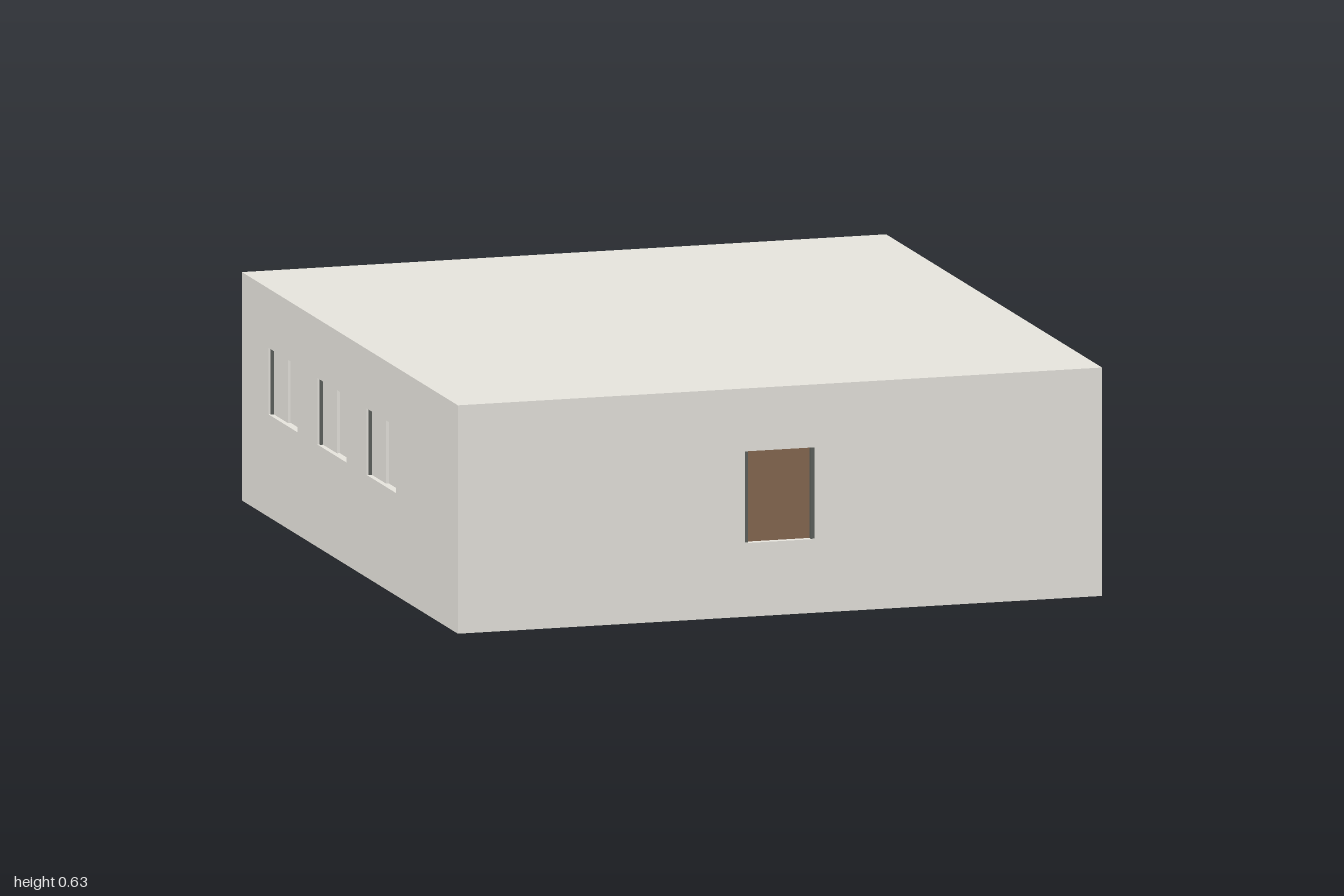
import * as THREE from 'three';

const W = 0.92, D = 1, H = 0.635, T = 0.03; // half width, half depth, height, wall thickness

const mat = (name, color) => {
  const m = new THREE.MeshStandardMaterial({ color });
  m.name = name;
  return m;
};

export function createModel() {
  const wallMat = mat('plaster', 0xe5e3dc);
  const doorMat = mat('door wood', 0x856750);
  const floorMat = mat('stage wood', 0xc4b08a);
  const tierMat = mat('tier carpet', 0xb0aeaa);
  const frameMat = mat('frame metal', 0x5c605c);

  const group = new THREE.Group();
  group.name = 'lectureHall';

  // Box given by its min and max corners
  const box = (name, m, x0, x1, y0, y1, z0, z1, parent = group) => {
    const mesh = new THREE.Mesh(new THREE.BoxGeometry(x1 - x0, y1 - y0, z1 - z0), m);
    mesh.position.set((x0 + x1) / 2, (y0 + y1) / 2, (z0 + z1) / 2);
    mesh.name = name;
    parent.add(mesh);
  };

  // Range between two distances on the side s (+1 or -1), in rising order
  const span = (s, a, b) => (s > 0 ? [a, b] : [-b, -a]);

  // Wall panel with rectangular openings [u0, u1, y0, y1]
  const wall = (name, half, holes) => {
    const rect = (P, a, b, c, d) => {
      const p = new P();
      p.moveTo(a, c); p.lineTo(b, c); p.lineTo(b, d); p.lineTo(a, d); p.closePath();
      return p;
    };
    const s = rect(THREE.Shape, -half, half, 0, H - T);
    holes.forEach(h => s.holes.push(rect(THREE.Path, ...h)));
    const mesh = new THREE.Mesh(new THREE.ExtrudeGeometry(s, { depth: T, bevelEnabled: false }), wallMat);
    mesh.name = name;
    group.add(mesh);
    return mesh;
  };

  // Shell
  const windows = [-0.62, -0.165, 0.29].map(z => [z - 0.135, z + 0.135, 0.285, 0.47]);
  wall('frontWall', W, [[-0.1, 0.1, 0.205, 0.46]]).position.z = D - T;
  wall('backWall', W, []).position.z = -D;
  const side = wall('windowWall', D - T, windows);
  side.rotation.y = -Math.PI / 2;
  side.position.x = -W + T;
  box('plainSideWall', wallMat, W - T, W, 0, H - T, -D + T, D - T);
  box('roof', wallMat, -W, W, H - T, H, -D, D);

  // Sliding windows: two staggered panes between slim jambs
  windows.forEach(([z0, z1, y0, y1]) => {
    const win = new THREE.Group();
    win.name = 'window';
    group.add(win);
    const mid = (z0 + z1) / 2, x = -W + T;
    box('outerPane', wallMat, x - 0.016, x - 0.008, y0, y1, z0 + 0.006, mid, win);
    box('innerPane', wallMat, x - 0.008, x, y0, y1, mid - 0.004, z1 - 0.006, win);
    box('windowJamb', frameMat, x - 0.024, x, y0, y1, z0, z0 + 0.006, win);
    box('windowJamb', frameMat, x - 0.024, x, y0, y1, z1 - 0.006, z1, win);
  });

  // Double door between slim jambs
  const doorSet = new THREE.Group();
  doorSet.name = 'doubleDoor';
  group.add(doorSet);
  for (const s of [-1, 1]) {
    box('doorLeaf', doorMat, ...span(s, 0, 0.09), 0.205, 0.46, 0.972, 0.98, doorSet);
    box('doorJamb', frameMat, ...span(s, 0.09, 0.1), 0.205, 0.46, 0.97, 0.994, doorSet);
  }

  // Stage floor and lectern
  const stageEnd = -0.54, inX = W - T;
  box('stageFloor', floorMat, -inX, inX, 0.003, 0.013, -D + T, stageEnd);
  box('lectern', doorMat, -0.425, -0.295, 0, 0.12, -0.715, -0.665);

  // Seating tiers rising to the door, with half steps in both side aisles
  const n = 5, depth = (D - T - stageEnd) / n, rise = 0.042, aisle = 0.7;
  for (let i = 0; i < n; i++) {
    const tier = new THREE.Group();
    tier.name = 'seatingTier';
    group.add(tier);
    const z0 = stageEnd + i * depth, z1 = z0 + depth, top = (i + 1) * rise;
    box('tread', tierMat, -aisle, aisle, top - 0.012, top, z0, z1, tier);
    box('riser', tierMat, -aisle, aisle, top - rise, top - 0.012, z0, z0 + 0.006, tier);
    for (const s of [-1, 1]) {
      const [a, b] = span(s, aisle, inX);
      box('lowerAisleStep', tierMat, a, b, top - rise, top - rise / 2, z0, z0 + depth / 2, tier);
      box('upperAisleStep', tierMat, a, b, top - rise * 0.75, top, z0 + depth / 2, z1, tier);
      box('aisleStringer', tierMat, ...span(s, 0.686, 0.696),
        Math.max(0, top - 0.05), top - 0.012, z0 + 0.006, z1, tier);
    }
    // Long desk on slim legs that pass through the tread
    box('desk', doorMat, -0.6, 0.6, top + 0.07, top + 0.078, z0 + 0.04, z0 + 0.11, tier);
    for (let k = 0; k < 6; k++) {
      const x = -0.55 + k * 0.22;
      box('deskLeg', frameMat, x - 0.005, x + 0.005, top - 0.014, top + 0.07, z0 + 0.07, z0 + 0.08, tier);
    }
  }
  return group;
}
